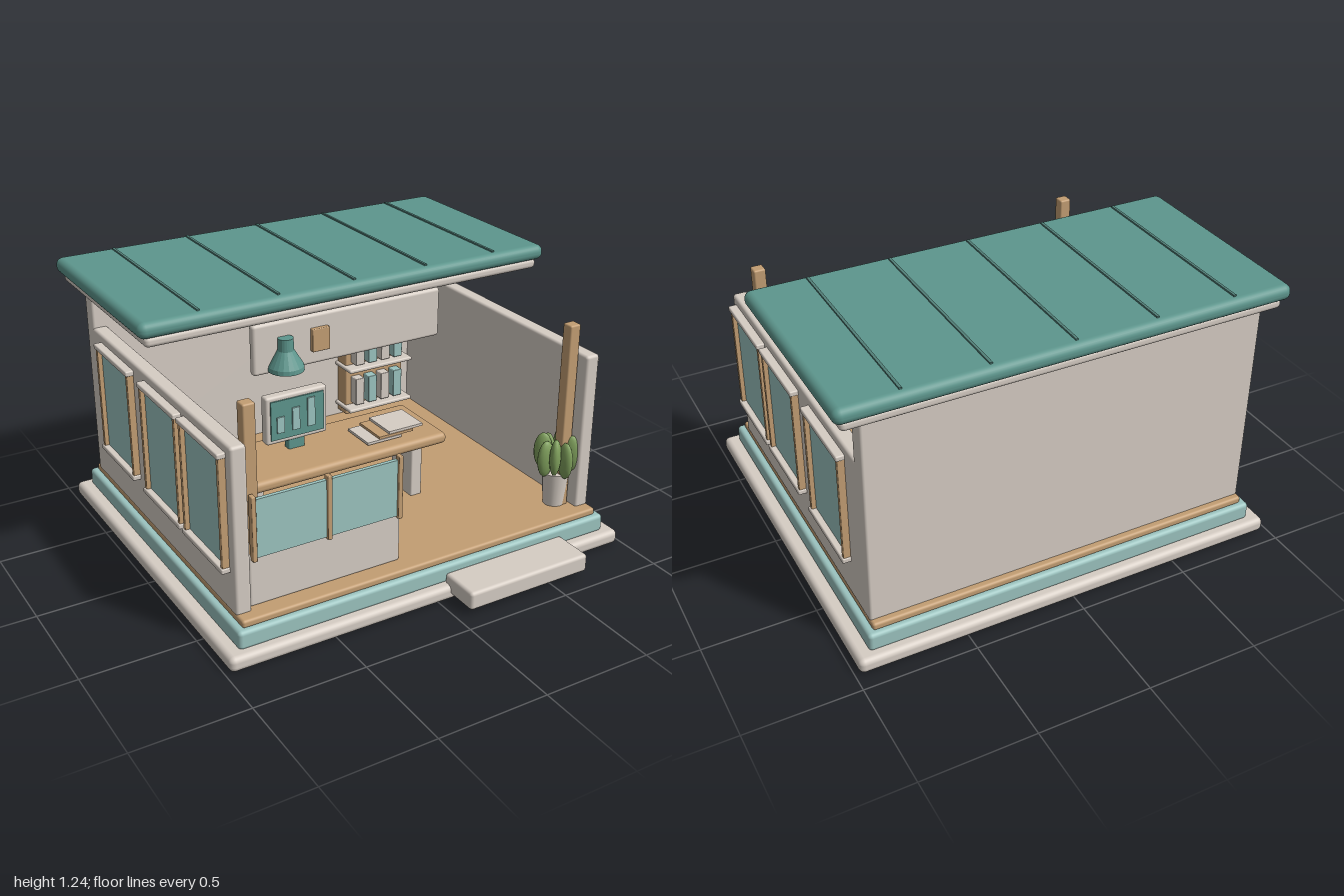
import * as THREE from 'three';
import { RoundedBoxGeometry } from 'three/addons/geometries/RoundedBoxGeometry.js';

const mat = (name, color) => {
  const m = new THREE.MeshStandardMaterial({ color });
  m.name = name;
  return m;
};

export function createModel() {
  const root = new THREE.Group();
  root.name = 'openOffice';
  const plaster = mat('plaster', 0xd6cdc4);
  const teal = mat('teal', 0x5d968d);
  const glass = mat('paleTeal', 0x9cc4c0);
  const wood = mat('wood', 0xc39e73);
  const leafGreen = mat('leafGreen', 0x7f9f5c);
  const seamTeal = mat('seamTeal', 0x527f78);

  const group = (name, parent = root) => {
    const g = new THREE.Group();
    g.name = name;
    parent.add(g);
    return g;
  };
  // Box given by its limits on each axis, with softened edges when r > 0
  const box = (name, m, [x0, x1], [y0, y1], [z0, z1], r = 0, parent = root) => {
    const w = x1 - x0, h = y1 - y0, d = z1 - z0;
    const geo = r > 0 ? new RoundedBoxGeometry(w, h, d, 3, r) : new THREE.BoxGeometry(w, h, d);
    const mesh = new THREE.Mesh(geo, m);
    mesh.position.set((x0 + x1) / 2, (y0 + y1) / 2, (z0 + z1) / 2);
    mesh.name = name;
    parent.add(mesh);
    return mesh;
  };

  // Stepped base
  box('foundation', plaster, [-0.98, 0.98], [0, 0.068], [-0.93, 0.78], 0.025);
  box('plinth', glass, [-0.92, 0.92], [0.06, 0.145], [-0.885, 0.735], 0.018);
  box('floor', wood, [-0.89, 0.89], [0.14, 0.175], [-0.86, 0.71], 0.012);
  box('entranceStep', plaster, [0.055, 0.675], [0.025, 0.11], [0.73, 0.925], 0.016);

  // Walls
  box('backWall', plaster, [-0.89, 0.89], [0.165, 1.13], [-0.83, -0.75], 0.012);
  for (const s of [-1, 1]) {
    const side = group(s > 0 ? 'leftSide' : 'rightSide');
    const span = (a, b) => (s > 0 ? [a, b] : [-b, -a]);
    box('sideWall', plaster, span(0.82, 0.89), [0.165, 0.91], [-0.78, 0.655], 0.014, side);
    // Windows on the outer face
    for (const zc of [0.425, 0.02, -0.472]) {
      const win = group('window', side);
      box('pane', glass, span(0.885, 0.9), [0.37, 0.855], [zc - 0.175, zc + 0.175], 0, win);
      for (const e of [-1, 1]) {
        const z = zc + e * 0.174;
        box('windowStile', wood, span(0.885, 0.92), [0.355, 0.87], [z - 0.011, z + 0.011], 0.004, win);
        const y = 0.6125 + e * 0.251;
        box('windowRail', plaster, span(0.885, 0.927), [y - 0.012, y + 0.012], [zc - 0.19, zc + 0.19], 0.006, win);
      }
    }
    box('frontPost', wood, span(0.755, 0.81), [0.17, 1.05], [0.555, 0.61], 0.008, side);
  }

  // Roof
  const roof = group('roof');
  box('roofTrim', plaster, [-0.97, 0.97], [1.12, 1.168], [-0.855, 0.085], 0.02, roof);
  box('roofSlab', teal, [-1, 1], [1.162, 1.233], [-0.88, 0.105], 0.033, roof);
  for (let i = -2; i <= 2; i++) {
    const x = i * 0.365;
    box('roofSeam', seamTeal, [x - 0.006, x + 0.006], [1.228, 1.24], [-0.845, 0.07], 0, roof);
  }

  // Hanging panel with lamp and picture
  box('hangingPanel', plaster, [-0.475, 0.47], [0.87, 1.1], [-0.005, 0.035], 0.015);
  box('picture', wood, [-0.2, -0.115], [0.935, 1.04], [0.035, 0.06], 0.004);
  const lampProfile = [[0, 1.03], [0.034, 1.03], [0.036, 0.975], [0.078, 0.905], [0.08, 0.885], [0, 0.885]]
    .map(([r, y]) => new THREE.Vector2(r, y)).reverse();
  const lampGeo = new THREE.LatheGeometry(lampProfile, 20).toNonIndexed();
  lampGeo.computeVertexNormals();
  const lamp = new THREE.Mesh(lampGeo, teal);
  lamp.position.set(-0.33, 0, 0.055);
  lamp.name = 'lampShade';
  root.add(lamp);

  // Low front screen
  const screen = group('frontScreen');
  box('lowWall', plaster, [-0.815, -0.11], [0.17, 0.405], [0.585, 0.628], 0.012, screen);
  box('screenGlass', glass, [-0.795, -0.12], [0.395, 0.655], [0.62, 0.637], 0, screen);
  for (const x of [-0.795, -0.457, -0.123]) {
    box('screenMullion', wood, [x - 0.01, x + 0.01], [0.385, 0.675], [0.618, 0.65], 0.004, screen);
  }

  // Desk, papers and monitor
  const desk = group('desk');
  box('deskTop', wood, [-0.645, 0.355], [0.46, 0.512], [-0.08, 0.292], 0.022, desk);
  for (const x of [-0.55, 0.262]) {
    box('deskLeg', plaster, [x - 0.029, x + 0.029], [0.17, 0.465], [0.02, 0.19], 0.008, desk);
  }
  [[-0.025, plaster], [0.035, wood], [0.085, plaster]].forEach(([x, m], i) => {
    const y = 0.518 + i * 0.014;
    box('paperStack', m, [x, x + 0.175], [y, y + 0.012], [0.06, 0.23], 0, desk);
  });
  const monitor = group('monitor', desk);
  box('monitorStand', teal, [-0.335, -0.255], [0.505, 0.6], [0.035, 0.075], 0.006, monitor);
  box('monitorFrame', plaster, [-0.445, -0.145], [0.555, 0.78], [0.03, 0.08], 0.012, monitor);
  box('monitorScreen', teal, [-0.425, -0.165], [0.577, 0.76], [0.079, 0.087], 0, monitor);
  [[-0.38, 0.685], [-0.305, 0.715], [-0.23, 0.745]].forEach(([x, top]) => {
    box('chartBar', glass, [x - 0.018, x + 0.018], [0.61, top], [0.086, 0.094], 0, monitor);
  });

  // Bookcase on the back wall
  const bookcase = group('bookcase');
  box('bookcaseBody', wood, [0.395, 0.735], [0.2, 0.865], [-0.76, -0.67], 0.008, bookcase);
  for (const y of [0.245, 0.465, 0.685, 0.87]) {
    box('shelf', plaster, [0.38, 0.752], [y - 0.01, y + 0.01], [-0.755, -0.6], 0.008, bookcase);
  }
  for (const y of [0.265, 0.485, 0.695]) {
    for (let i = 0; i < 4; i++) {
      const x = 0.452 + i * 0.075;
      box('book', i % 2 ? glass : plaster, [x - 0.025, x + 0.025], [y, y + 0.145], [-0.68, -0.62], 0.004, bookcase);
    }
  }

  // Potted plants
  const leafGeo = new THREE.SphereGeometry(1, 14, 10);
  for (const [x, z] of [[-0.74, 0.34], [0.765, 0.565]]) {
    const plant = group('pottedPlant');
    plant.position.set(x, 0, z);
    const pot = new THREE.Mesh(new THREE.CylinderGeometry(0.06, 0.048, 0.16, 20), plaster);
    pot.position.y = 0.255;
    pot.name = 'pot';
    plant.add(pot);
    for (let i = 0; i < 8; i++) {
      const a = (i / 8) * Math.PI * 2;
      const leaf = new THREE.Mesh(leafGeo, leafGreen);
      leaf.scale.set(0.042, 0.088, 0.026);
      leaf.position.set(Math.cos(a) * 0.062, i % 2 ? 0.43 : 0.41, Math.sin(a) * 0.062);
      leaf.rotation.y = -a;
      leaf.name = 'leaf';
      plant.add(leaf);
    }
  }
  return root;
}
